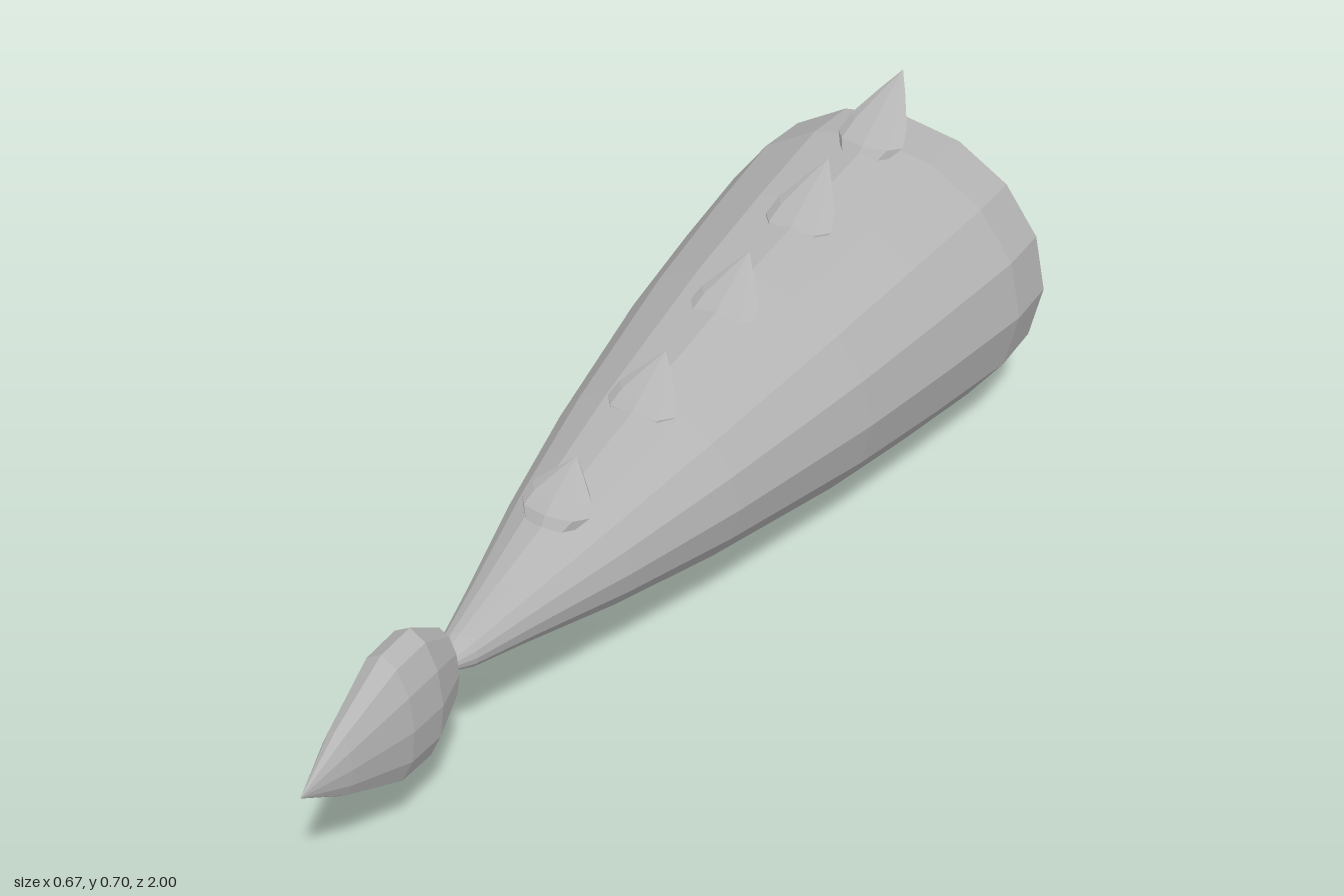
import * as THREE from 'three';

const grey = new THREE.MeshStandardMaterial({ color: 0xb4b4b4, flatShading: true, side: THREE.DoubleSide });
grey.name = 'grey';

const AXIS_Y = 0.301;
const lerp = THREE.MathUtils.lerp;

// Faceted lathe from [radius, height] pairs, bottom to top
const turned = (profile, sides) =>
  new THREE.LatheGeometry(profile.map(([r, h]) => new THREE.Vector2(r, h)), sides);

function part(name, geometry) {
  const mesh = new THREE.Mesh(geometry, grey);
  mesh.name = name;
  return mesh;
}

// Lathe laid along z, flattened to an ellipse
function alongZ(name, profile, sides, sx, sy) {
  const geometry = turned(profile, sides);
  geometry.rotateX(Math.PI / 2).scale(sx, sy, 1).translate(0, AXIS_Y, 0);
  return part(name, geometry);
}

// Spike swept backwards: a flat oval cone sheared from its wide ring to its tip
function spike(t) {
  const wide = [lerp(0.61, 0.422, t), lerp(-0.875, 0.248, t)];
  const tip = [lerp(0.698, 0.48, t), lerp(-0.992, 0.187, t)];
  const h = tip[0] - wide[0];
  const geometry = turned([[0, -0.025], [0.052, -0.025], [0.07, -0.006], [0.06, h * 0.22], [0.026, h * 0.68], [0, h]], 8);
  const slope = (tip[1] - wide[1]) / h;
  geometry.scale(1, 1, 0.5);
  geometry.applyMatrix4(new THREE.Matrix4().set(
    1, 0, 0, 0,
    0, 1, 0, wide[0],
    0, slope, 1, wide[1],
    0, 0, 0, 1));
  return part('backSpike', geometry);
}

export function createModel() {
  const model = new THREE.Group();
  model.name = 'spikedTail';

  // Hollow tapering tail, open at the back
  model.add(alongZ('tail', [
    [0.329, -1], [0.335, -0.88], [0.306, -0.65], [0.269, -0.4], [0.197, -0.04],
    [0.133, 0.22], [0.072, 0.43], [0.038, 0.555], [0.014, 0.605],
  ], 16, 1, 0.893));

  // Leaf-shaped blade at the tip, thin in x
  model.add(alongZ('tailBlade', [
    [0, 0.608], [0.083, 0.608], [0.137, 0.69], [0.134, 0.77], [0.068, 0.9], [0, 1],
  ], 12, 0.445, 1));

  // Row of spikes along the ridge
  const spikes = new THREE.Group();
  spikes.name = 'ridgeSpikes';
  for (let i = 0; i < 5; i++) spikes.add(spike(i / 4));
  model.add(spikes);

  return model;
}
